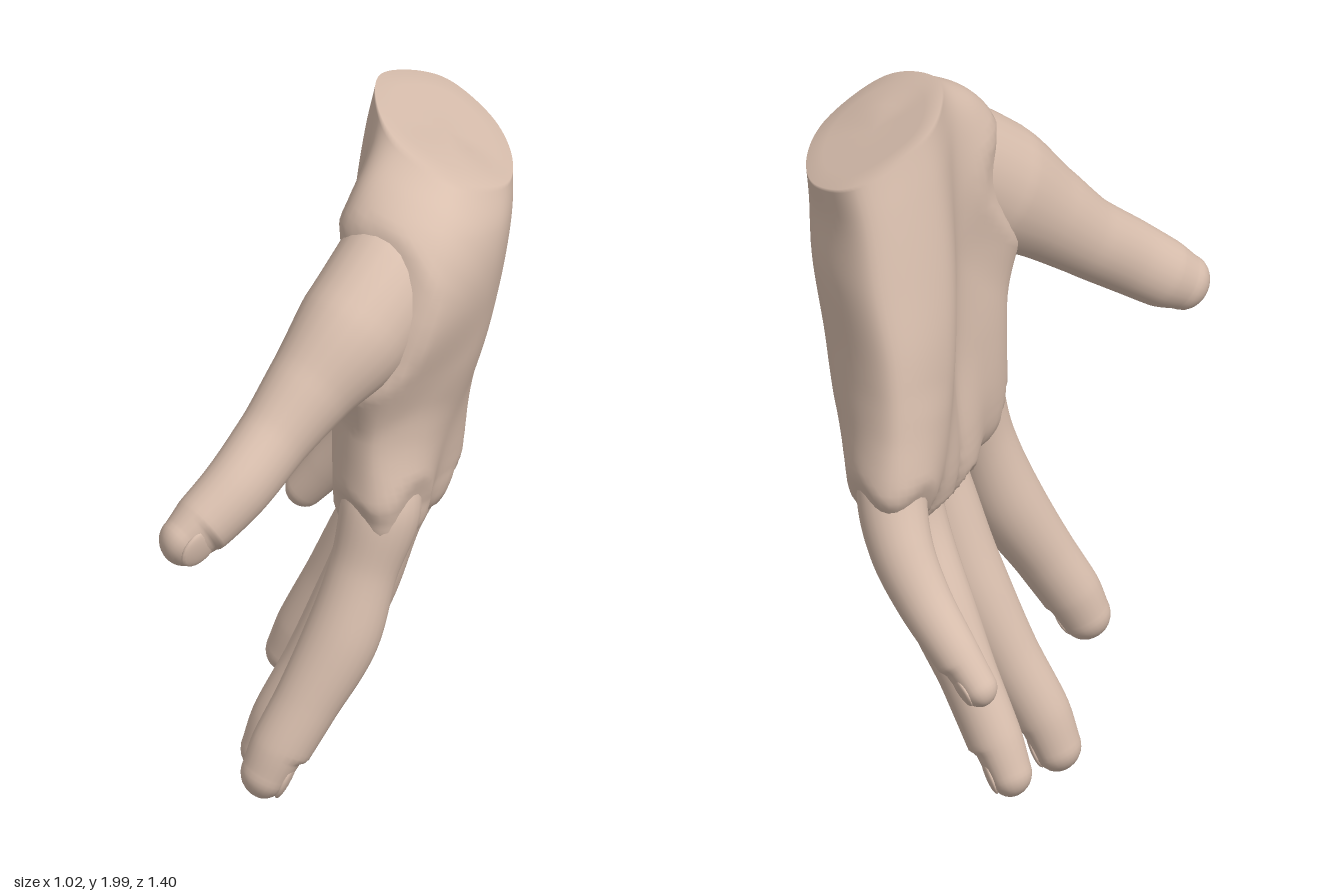
import * as THREE from 'three';

const skinMaterial = new THREE.MeshStandardMaterial({ color: 0xd9bfae, roughness: 0.8 });
const V = (x, y, z) => new THREE.Vector3(x, y, z);

// A digit follows joints [x, y, z, half width]; "back" points to the nail side,
// "flatness" is its depth over its width.
function digitPlan(name, back, flatness, nailStart, joints) {
  return {
    name, back, flatness, nailStart,
    path: new THREE.CatmullRomCurve3(joints.map((j) => V(j[0], j[1], j[2]))),
    width: new THREE.CatmullRomCurve3(joints.map((j) => V(j[3], 0, 0))),
  };
}

const indexFinger = digitPlan('indexFinger', V(1, 0, 0.25), 1.03, 0.86, [
  [0.15, 1.17, 0.22, 0.05], [0.12, 0.97, 0.26, 0.105], [0.07, 0.80, 0.285, 0.09], [0.01, 0.62, 0.315, 0.098],
  [-0.09, 0.44, 0.35, 0.085], [-0.16, 0.32, 0.37, 0.08], [-0.195, 0.25, 0.378, 0.07]]);
const middleFinger = digitPlan('middleFinger', V(1, 0, 0), 0.98, 0.87, [
  [0.25, 1.17, 0, 0.05], [0.22, 0.95, -0.01, 0.11], [0.16, 0.78, -0.02, 0.10], [0.09, 0.57, -0.035, 0.103],
  [-0.02, 0.34, -0.05, 0.088], [-0.11, 0.17, -0.057, 0.082], [-0.148, 0.075, -0.06, 0.072]]);
const ringFinger = digitPlan('ringFinger', V(1, 0, -0.15), 1, 0.87, [
  [0.26, 1.17, -0.18, 0.05], [0.25, 0.96, -0.21, 0.10], [0.21, 0.80, -0.24, 0.09], [0.15, 0.62, -0.295, 0.094],
  [0.06, 0.42, -0.355, 0.079], [-0.01, 0.26, -0.398, 0.075], [-0.047, 0.17, -0.42, 0.065]]);
const littleFinger = digitPlan('littleFinger', V(1, 0, -0.3), 1.04, 0.87, [
  [0.25, 1.18, -0.39, 0.045], [0.26, 1.00, -0.445, 0.09], [0.23, 0.87, -0.505, 0.083],
  [0.17, 0.75, -0.555, 0.073], [0.08, 0.62, -0.613, 0.062], [0.02, 0.535, -0.645, 0.053]]);
const thumb = digitPlan('thumb', V(0.5, -0.3, 0.9), 0.88, 0.9, [
  [0.28, 1.78, 0.06, 0.09], [0.16, 1.66, 0.21, 0.18], [0.04, 1.545, 0.32, 0.175], [-0.08, 1.435, 0.40, 0.135],
  [-0.19, 1.325, 0.475, 0.11], [-0.30, 1.225, 0.56, 0.102], [-0.395, 1.15, 0.61, 0.093], [-0.445, 1.115, 0.635, 0.077]]);
const digits = [indexFinger, middleFinger, ringFinger, littleFinger, thumb];

// Joins rings of points into a smooth skin, closed by a pole at each end.
function skin(rings, startPole, endPole) {
  const n = rings[0].length, index = [], points = [...rings.flat(), startPole, endPole];
  const last = (rings.length - 1) * n, start = last + n;
  for (let j = 0; j < n; j++) {
    const k = (j + 1) % n;
    index.push(k, j, start, last + j, last + k, start + 1);
    for (let i = 0; i < last; i += n) {
      index.push(i + j, i + k, i + j + n, i + k, i + k + n, i + j + n);
    }
  }
  const geometry = new THREE.BufferGeometry().setFromPoints(points);
  geometry.setIndex(index);
  geometry.computeVertexNormals();
  return geometry;
}

function part(name, geometry) {
  const mesh = new THREE.Mesh(geometry, skinMaterial);
  mesh.name = name;
  return mesh;
}

// Swells the palm where it nears a digit, so the two flow together.
function blendToDigits(geometry, reach) {
  const balls = digits.flatMap(({ path, width, flatness }) => Array.from({ length: 41 }, (_, i) => (
    { at: path.getPoint(i / 40), radius: width.getPoint(i / 40).x * (1 + flatness) / 2 })));
  const position = geometry.attributes.position, p = V(), normal = V();
  for (let i = 0; i < position.count; i++) {
    p.fromBufferAttribute(position, i);
    normal.fromBufferAttribute(geometry.attributes.normal, i);
    const gap = Math.abs(Math.min(...balls.map((b) => p.distanceTo(b.at) - b.radius)));
    p.addScaledVector(normal, Math.max(reach - gap, 0) ** 2 / (4 * reach));
    position.setXYZ(i, p.x, p.y, p.z);
  }
  geometry.computeVertexNormals();
  return geometry;
}

// Palm sections from the finger webs up to the wrist:
// y, wrist tilt, z of thumb edge, z of little finger edge,
// then x of: thumb edge, back of hand (3), little finger edge, palm (3)
const palmSections = [
  [0.845, 0, 0.22, -0.27, 0.13, 0.15, 0.21, 0.24, 0.23, 0.19, 0.13, 0.10],
  [0.91, 0, 0.33, -0.42, 0.11, 0.22, 0.31, 0.32, 0.26, 0.17, 0.10, 0.05],
  [1.00, 0, 0.35, -0.52, 0.11, 0.25, 0.355, 0.355, 0.26, 0.15, 0.10, 0.03],
  [1.20, 0, 0.36, -0.525, 0.09, 0.31, 0.405, 0.405, 0.25, 0.12, 0.11, 0.00],
  [1.40, 0, 0.38, -0.505, 0.12, 0.37, 0.45, 0.43, 0.26, 0.11, 0.11, 0.00],
  [1.60, 0, 0.38, -0.475, 0.19, 0.41, 0.49, 0.46, 0.30, 0.12, 0.11, 0.03],
  [1.79, 0.6, 0.31, -0.435, 0.27, 0.45, 0.505, 0.46, 0.33, 0.155, 0.12, 0.085],
  [1.91, 1, 0.20, -0.41, 0.32, 0.47, 0.51, 0.47, 0.36, 0.19, 0.15, 0.19],
];

function buildPalm() {
  const across = [0, 0.18, 0.5, 0.82, 1, 0.82, 0.5, 0.18];
  const outlines = palmSections.map(([y, tilt, z0, z1, ...xs]) => {
    const corners = xs.map((x, i) =>
      V(x, y + tilt * 0.5 * (0.33 - x), THREE.MathUtils.lerp(z0, z1, across[i])));
    return new THREE.CatmullRomCurve3(corners, true).getPoints(80).slice(0, 80);
  });
  // Run a smooth curve up through every outline point
  const columns = outlines[0].map((_, j) => {
    const curve = new THREE.CatmullRomCurve3(outlines.map((o) => o[j]));
    return Array.from({ length: 71 }, (_, i) => curve.getPoint(i / 70));
  });
  const rings = columns[0].map((_, i) => columns.map((c) => c[i]));
  // Close the webs below and the slanted wrist above
  const centre = (ring) => ring.reduce((s, p) => s.add(p), V(0, 0, 0)).divideScalar(ring.length);
  const rim = rings[rings.length - 1], web = rings[0];
  const shrink = (ring, amount) => ring.map((p) => p.clone().lerp(centre(ring), amount));
  const all = [shrink(web, 0.7), shrink(web, 0.35), ...rings, shrink(rim, 0.25), shrink(rim, 0.6)];
  return part('palm', blendToDigits(skin(all, centre(web), centre(rim)), 0.14));
}

function buildDigit({ name, back, flatness, nailStart, path, width }) {
  const frame = (t) => {
    const along = path.getTangent(t), w = width.getPoint(t).x;
    const up = back.clone().addScaledVector(along, -back.dot(along)).normalize();
    return { along, up, side: up.clone().cross(along), at: path.getPoint(t), w, d: w * flatness };
  };
  const rings = [], sides = 24, rows = 56, capRows = 7;
  const addRing = (f, t, angle) => {
    const dent = 0.17 * THREE.MathUtils.smoothstep(t, nailStart - 0.03, nailStart);
    const middle = f.at.clone().addScaledVector(f.along, Math.sin(angle) * f.d);
    rings.push(Array.from({ length: sides }, (_, j) => {
      const a = (j / sides) * Math.PI * 2, s = Math.sin(a);
      const depth = f.d * (s > 0 ? 1 - dent * s : 1);
      return middle.clone()
        .addScaledVector(f.side, Math.cos(a) * f.w * Math.cos(angle))
        .addScaledVector(f.up, s * depth * Math.cos(angle));
    }));
  };
  for (let i = 0; i <= rows; i++) addRing(frame(i / rows), i / rows, 0);
  // Rounded fingertip
  const tip = frame(1);
  for (let i = 1; i <= capRows; i++) addRing(tip, 1, (i / (capRows + 1)) * Math.PI / 2);
  const pole = tip.at.clone().addScaledVector(tip.along, tip.d);

  const digit = new THREE.Group();
  digit.name = name;
  digit.add(part(name + 'Skin', skin(rings, path.getPoint(0), pole)));

  // Nail plate lying in the dent
  const nail = part(name + 'Nail', new THREE.SphereGeometry(1, 20, 12));
  const f = frame(0.97);
  nail.scale.set(f.w * 0.7, f.d * 0.2, f.d * 0.9);
  nail.quaternion.setFromRotationMatrix(new THREE.Matrix4().makeBasis(f.side, f.up, f.along));
  nail.position.copy(f.at).addScaledVector(f.up, f.d * 0.68);
  digit.add(nail);
  return digit;
}

export function createModel() {
  const hand = new THREE.Group();
  hand.name = 'hand';
  hand.add(buildPalm(), ...digits.map(buildDigit));
  return hand;
}
